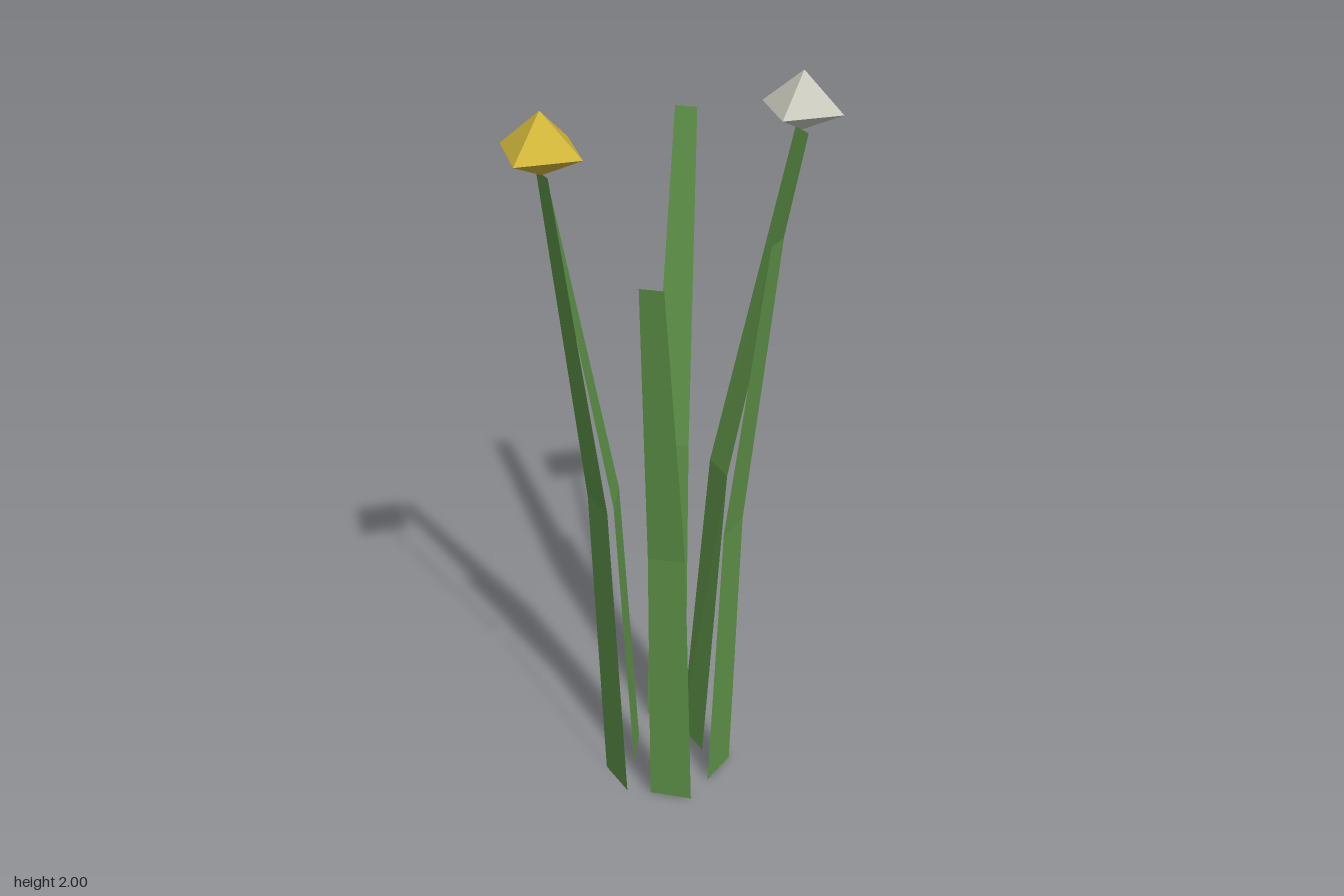
import * as THREE from 'three';

const leafGreen = new THREE.MeshStandardMaterial({ name: 'leafGreen', color: 0x5e9248, flatShading: true, side: THREE.DoubleSide });
const petalYellow = new THREE.MeshStandardMaterial({ name: 'petalYellow', color: 0xd0b53a, flatShading: true });
const petalWhite = new THREE.MeshStandardMaterial({ name: 'petalWhite', color: 0xc8c8bc, flatShading: true });

// Flat tapering blade; each row is [y, x1, z1, x2, z2] from base to tip
function blade(name, rows) {
  const positions = [], index = [];
  rows.forEach(([y, x1, z1, x2, z2], i) => {
    positions.push(x1, y, z1, x2, y, z2);
    if (i > 0) {
      const a = 2 * (i - 1);
      index.push(a, a + 1, a + 3, a, a + 3, a + 2);
    }
  });
  const geometry = new THREE.BufferGeometry();
  geometry.setAttribute('position', new THREE.Float32BufferAttribute(positions, 3));
  geometry.setIndex(index);
  geometry.computeVertexNormals();
  const mesh = new THREE.Mesh(geometry, leafGreen);
  mesh.name = name;
  return mesh;
}

// Four-sided faceted bloom, taller above its widest line than below
function bloom(name, material, x, y, z) {
  const profile = [[0, -0.056], [0.111, 0], [0, 0.096]].map(([r, h]) => new THREE.Vector2(r, h));
  const mesh = new THREE.Mesh(new THREE.LatheGeometry(profile, 4), material);
  mesh.name = name;
  mesh.position.set(x, y, z);
  return mesh;
}

export function createModel() {
  const group = new THREE.Group();
  group.name = 'floweringGrass';
  group.add(
    // Leaves leaning outward, bent at mid height
    blade('backLeaf', [
      [0, -0.153, -0.109, -0.043, -0.143],
      [0.895, -0.163, -0.171, -0.068, -0.199],
      [1.79, -0.2, -0.358, -0.144, -0.374]]),
    blade('leftLeaf', [
      [0, 0.149, -0.053, 0.142, 0.062],
      [0.83, 0.181, -0.042, 0.177, 0.055],
      [1.66, 0.286, -0.015, 0.283, 0.043]]),
    blade('frontLeaf', [
      [0, 0.029, 0.187, 0.14, 0.155],
      [0.82, 0.052, 0.229, 0.144, 0.199],
      [1.64, 0.107, 0.352, 0.163, 0.335]]),
    blade('rightLeaf', [
      [0, -0.123, 0.009 - 0.018, -0.077, 0.097],
      [0.85, -0.16, 0.016, -0.121, 0.109],
      [1.695, -0.29, 0.097, -0.267, 0.15]]),
    // Stems carrying the blooms
    blade('whiteBloomStem', [
      [0, -0.031, -0.102, 0.068, -0.042],
      [0.9, 0.02, -0.159, 0.1, -0.106],
      [1.804, 0.151, -0.341, 0.201, -0.311]]),
    blade('yellowBloomStem', [
      [0, -0.133, 0.155, -0.031, 0.212],
      [0.925, -0.147, 0.192, -0.059, 0.24],
      [1.85, -0.185, 0.31, -0.135, 0.338]]),
    bloom('whiteBloom', petalWhite, 0.176, 1.861, -0.326),
    bloom('yellowBloom', petalYellow, -0.16, 1.904, 0.324)
  );
  return group;
}
